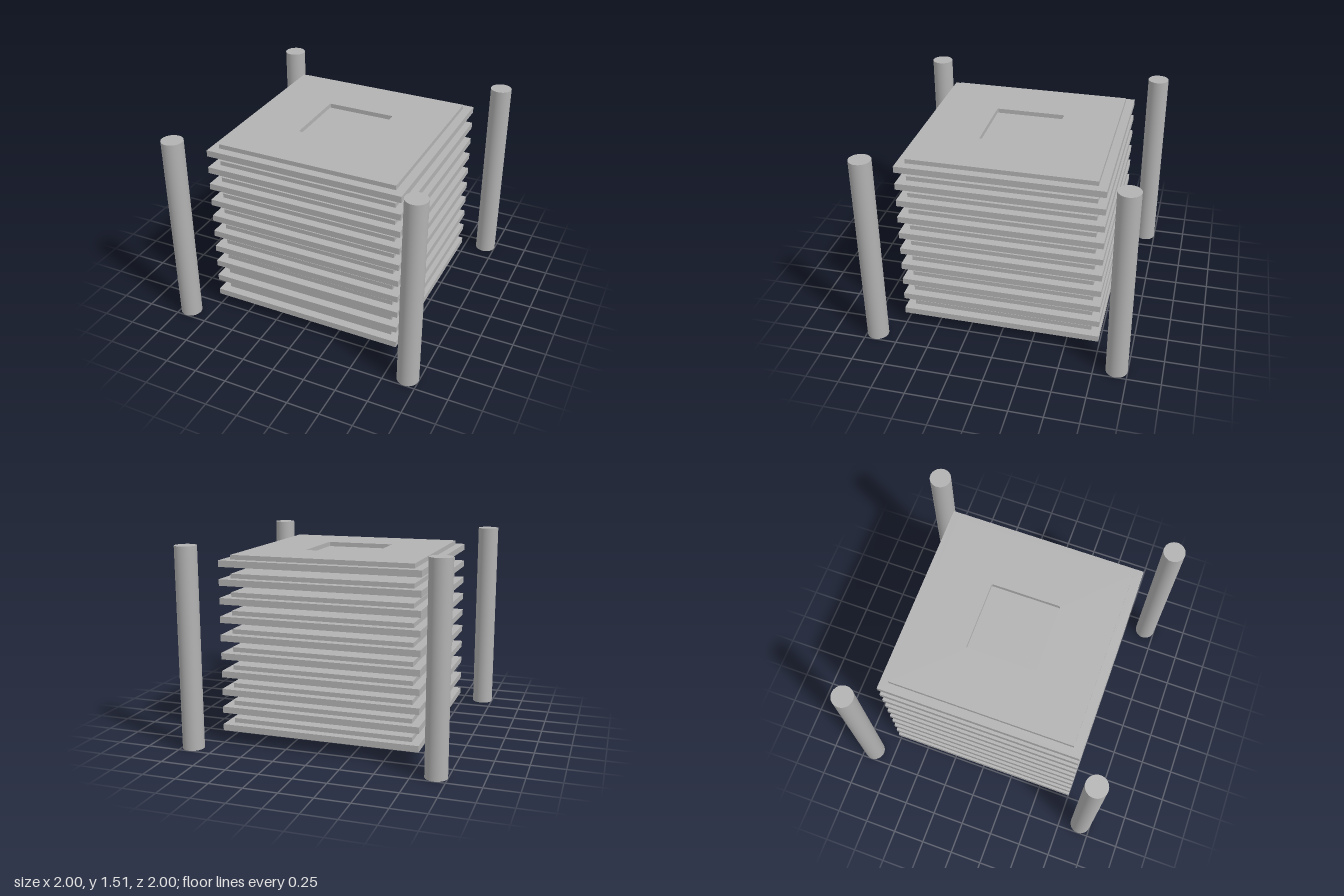
import * as THREE from 'three';

// Square outline with optional rounded corners
function square(half, r, Type) {
  const p = new Type();
  if (!r) {
    p.moveTo(-half, -half).lineTo(half, -half).lineTo(half, half).lineTo(-half, half);
    p.closePath();
    return p;
  }
  const c = half - r;
  p.moveTo(-c, -half);
  p.absarc(c, -c, r, -Math.PI / 2, 0, false);
  p.absarc(c, c, r, 0, Math.PI / 2, false);
  p.absarc(-c, c, r, Math.PI / 2, Math.PI, false);
  p.absarc(-c, -c, r, Math.PI, Math.PI * 1.5, false);
  p.closePath();
  return p;
}

// Extrude a ground-plan shape upwards from y = 0
function slab(shape, height) {
  const geo = new THREE.ExtrudeGeometry(shape, { depth: height, bevelEnabled: false, curveSegments: 10 });
  return geo.rotateX(-Math.PI / 2);
}

export function createModel() {
  const model = new THREE.Group();
  model.name = 'plateStack';
  const grey = new THREE.MeshStandardMaterial({ color: 0xb2b2b2 });
  grey.name = 'grey';

  const corners = [[-1, -1], [1, -1], [1, 1], [-1, 1]];
  const baseHeight = 0.048, raisedHeight = 0.034;

  // Lower plate with a socket hole near each corner
  const baseShape = square(0.753, 0, THREE.Shape);
  for (const [sx, sz] of corners) {
    const hole = new THREE.Path();
    hole.absarc(sx * 0.59, sz * 0.59, 0.038, 0, Math.PI * 2, true);
    baseShape.holes.push(hole);
  }
  const baseGeo = slab(baseShape, baseHeight);

  // Raised plate with a square recess open down to the lower plate
  const raisedShape = square(0.688, 0, THREE.Shape);
  raisedShape.holes.push(square(0.264, 0.01, THREE.Path));
  const raisedGeo = slab(raisedShape, raisedHeight);

  // Ten identical floating tiles
  for (let i = 0; i < 10; i++) {
    const tile = new THREE.Group();
    tile.name = `tile${i + 1}`;
    const base = new THREE.Mesh(baseGeo, grey);
    base.name = 'lowerPlate';
    const raised = new THREE.Mesh(raisedGeo, grey);
    raised.name = 'raisedPlate';
    raised.position.y = baseHeight;
    tile.add(base, raised);
    tile.position.y = 0.096 + i * 0.1378;
    model.add(tile);
  }

  // Four round corner posts
  const postGeo = new THREE.CylinderGeometry(0.081, 0.081, 1.507, 40);
  for (const [sx, sz] of corners) {
    const post = new THREE.Mesh(postGeo, grey);
    post.name = 'cornerPost';
    post.position.set(sx * 0.919, 1.507 / 2, sz * 0.919);
    model.add(post);
  }
  return model;
}
